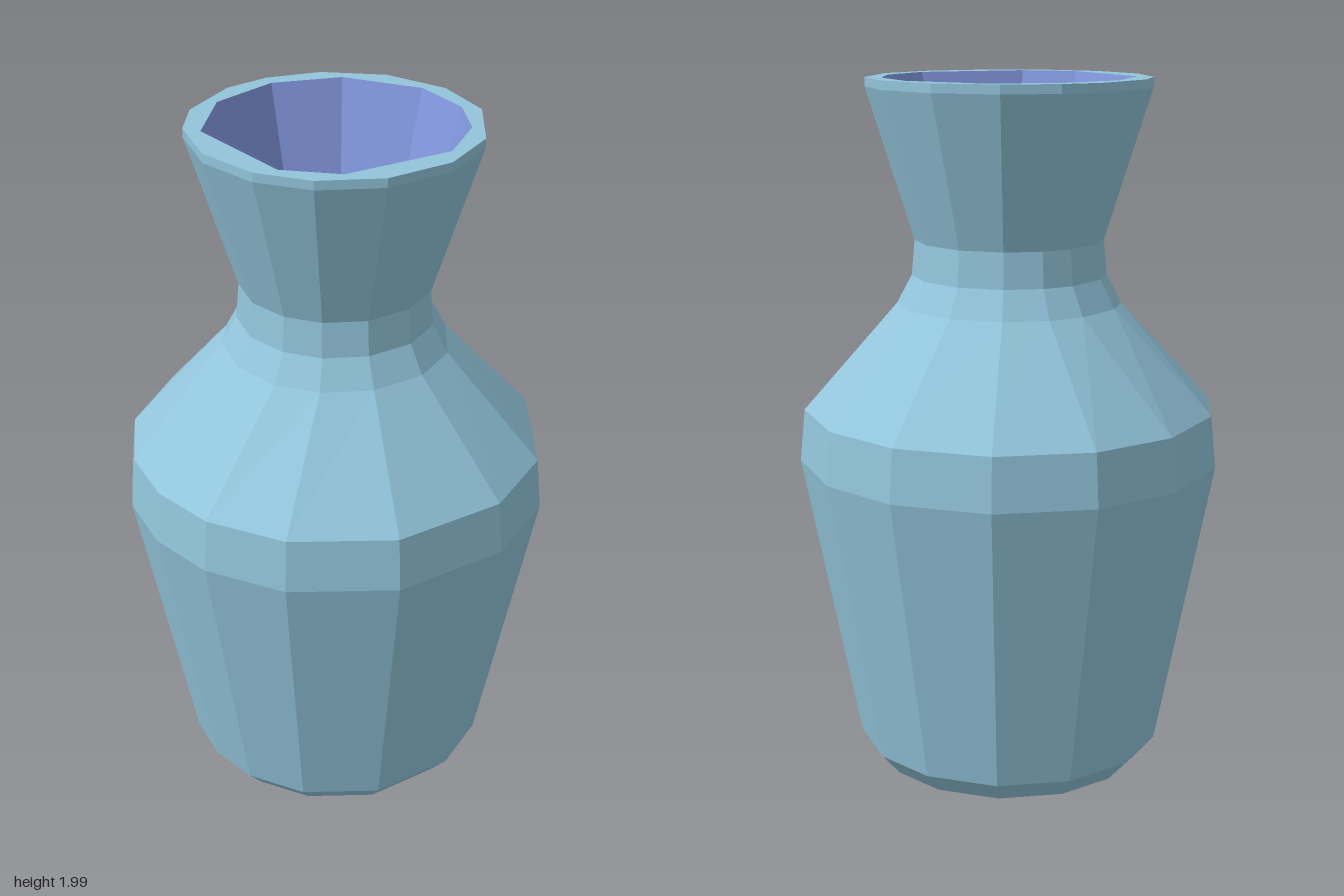
import * as THREE from 'three';

// Hand-cut, slightly uneven facet directions in degrees, measured from +z towards +x
const BODY = [11, 40, 72, 97, 131, 158, 182, 209, 236, 261, 288, 310, 329, 348];
const NECK = [16, 42, 70, 97, 128, 155, 183, 210, 233, 252, 280, 300, 327, 353];
const MOUTH = [0, 27, 79, 108, 133, 162, 201, 234, 268, 304];

const glaze = new THREE.MeshStandardMaterial({ color: 0x92c5db });
glaze.name = 'pale blue glaze';
const lining = new THREE.MeshStandardMaterial({ color: 0x8297de });
lining.name = 'violet lining';

// One horizontal ring of points
function ring(angles, r, y, cx = 0, cz = 0) {
  return angles.map((deg) => {
    const a = THREE.MathUtils.degToRad(deg);
    return new THREE.Vector3(cx + r * Math.sin(a), y, cz + r * Math.cos(a));
  });
}

// Flat-shaded skin through successive rings; a ring of radius 0 closes the end
function loft(rings) {
  const pos = [];
  const tri = (a, b, c) => {
    if (a.distanceTo(b) < 1e-5 || b.distanceTo(c) < 1e-5 || c.distanceTo(a) < 1e-5) return;
    for (const p of [a, b, c]) pos.push(p.x, p.y, p.z);
  };
  for (let k = 0; k + 1 < rings.length; k++) {
    const lo = rings[k], hi = rings[k + 1], n = lo.length;
    for (let i = 0; i < n; i++) {
      const j = (i + 1) % n;
      tri(lo[i], lo[j], hi[j]);
      tri(lo[i], hi[j], hi[i]);
    }
  }
  const geo = new THREE.BufferGeometry();
  geo.setAttribute('position', new THREE.Float32BufferAttribute(pos, 3));
  geo.computeVertexNormals();
  return geo;
}

export function createModel() {
  const vase = new THREE.Group();
  vase.name = 'vase';
  const add = (name, geo, mat) => {
    const mesh = new THREE.Mesh(geo, mat);
    mesh.name = name;
    vase.add(mesh);
  };

  // Base, tapered belly and shoulder
  const collar = ring(NECK, 0.32, 1.37);
  add('body', loft([
    ring(BODY, 0, 0.01),
    ring(BODY, 0.39, 0.01),
    ring(BODY, 0.445, 0.075),
    ring(BODY, 0.605, 0.92),
    ring(BODY, 0.59, 1.07),
    collar,
  ]), glaze);

  // Narrow neck and flared collar
  const lip = ring(NECK, 0.4, 2);
  add('neck', loft([
    collar,
    ring(NECK, 0.277, 1.45),
    ring(NECK, 0.268, 1.55),
    ring(NECK, 0.4, 1.975),
    lip,
  ]), glaze);

  // Flat lip between the outer and inner edges
  const mouth = ring(MOUTH, 0.355, 2);
  const flat = (p) => new THREE.Vector2(p.x, -p.z);
  const rim = new THREE.Shape(lip.map(flat));
  rim.holes.push(new THREE.Path(mouth.map(flat)));
  add('rim', new THREE.ShapeGeometry(rim).rotateX(-Math.PI / 2).translate(0, 2, 0), glaze);

  // Faceted funnel inside the mouth
  add('lining', loft([
    mouth,
    ring(MOUTH, 0.225, 1.52),
    ring(MOUTH, 0, 1.38, 0.05, -0.07),
  ]), lining);

  return vase;
}
